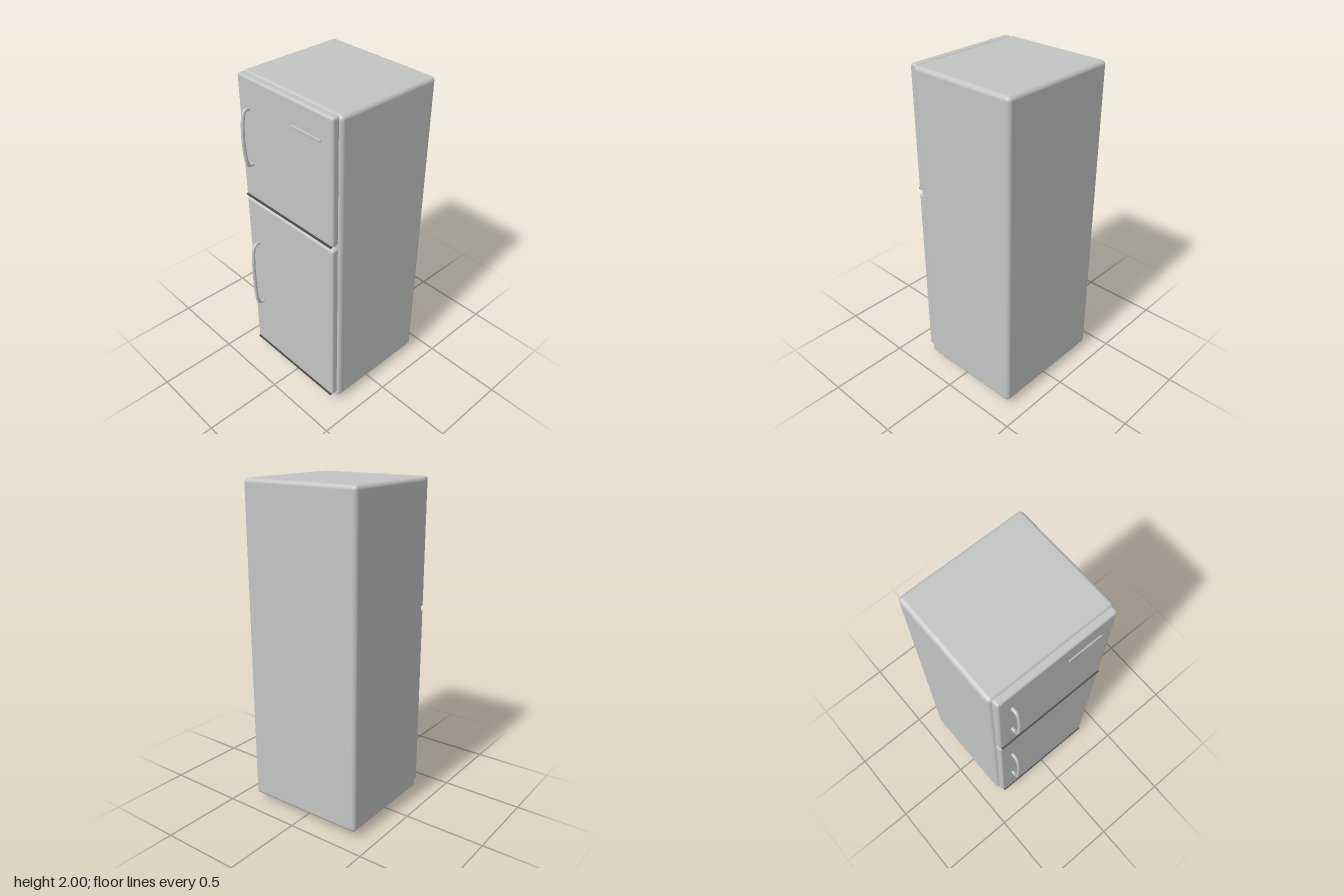
import * as THREE from 'three';
import { RoundedBoxGeometry } from 'three/addons/geometries/RoundedBoxGeometry.js';

export function createModel() {
  const group = new THREE.Group();
  const enamel = new THREE.MeshStandardMaterial({ color: 0xc3c5c4 });
  enamel.name = 'greyEnamel';
  const rubber = new THREE.MeshStandardMaterial({ color: 0x4a4d50 });
  rubber.name = 'darkRubber';

  function add(name, geometry, material, x = 0, y = 0, z = 0, parent = group) {
    const mesh = new THREE.Mesh(geometry, material);
    mesh.name = name;
    mesh.position.set(x, y, z);
    parent.add(mesh);
    return mesh;
  }

  // Box given by its lower and upper height and its back and front depth
  function roundedBox(name, material, width, y0, y1, z0, z1, radius, x = 0) {
    const geometry = new RoundedBoxGeometry(width, y1 - y0, z1 - z0, 5, radius);
    return add(name, geometry, material, x, (y0 + y1) / 2, (z0 + z1) / 2);
  }

  // Cabinet
  roundedBox('cabinet', enamel, 0.768, 0.04, 2, -0.397, 0.288, 0.025);

  // Bowed handle with rounded ends resting on the door
  function handle(name, y0, y1, front) {
    const part = new THREE.Group();
    part.name = name;
    const r = 0.0105, x = -0.28, z = front - r;
    const low = y0 + r, high = y1 - r, mid = (low + high) / 2;
    const half = [
      [0, 0.332], [0, 0.35], [0.007, 0.362],
      [0.03, z - 0.012], [0.075, z - 0.005],
    ];
    const points = [
      ...half.map(([d, pz]) => new THREE.Vector3(x, low + d, pz)),
      new THREE.Vector3(x, mid, z),
      ...half.slice().reverse().map(([d, pz]) => new THREE.Vector3(x, high - d, pz)),
    ];
    const curve = new THREE.CatmullRomCurve3(points, false, 'centripetal');
    add('grip', new THREE.TubeGeometry(curve, 64, r, 12), enamel, 0, 0, 0, part);
    for (const y of [low, high]) {
      const mount = add('handleMount', new THREE.CylinderGeometry(r, r, 0.012, 12), enamel, x, y, 0.33, part);
      mount.rotation.x = Math.PI / 2;
    }
    group.add(part);
  }

  // Doors, each with a dark strip along its lower front edge
  const doors = [
    ['freezerDoor', 1.243, 2, 1.472, 1.832, 0.393],
    ['fridgeDoor', 0.073, 1.22, 0.443, 0.935, 0.397],
  ];
  for (const [name, y0, y1, h0, h1, front] of doors) {
    roundedBox(name, enamel, 0.734, y0, y1, 0.28, 0.328, 0.014);
    add(name + 'Trim', new THREE.BoxGeometry(0.714, 0.011, 0.018), rubber, 0, y0 + 0.004, 0.326);
    handle(name + 'Handle', h0, h1, front);
  }

  // Small plain plate on the upper door
  roundedBox('doorPlate', enamel, 0.212, 1.842, 1.86, 0.326, 0.335, 0.004, 0.176);

  // Feet
  for (const x of [-0.29, 0.29]) {
    for (const z of [0.217, -0.29]) {
      add('foot', new THREE.CylinderGeometry(0.025, 0.021, 0.05, 16), rubber, x, 0.025, z);
    }
  }

  return group;
}
